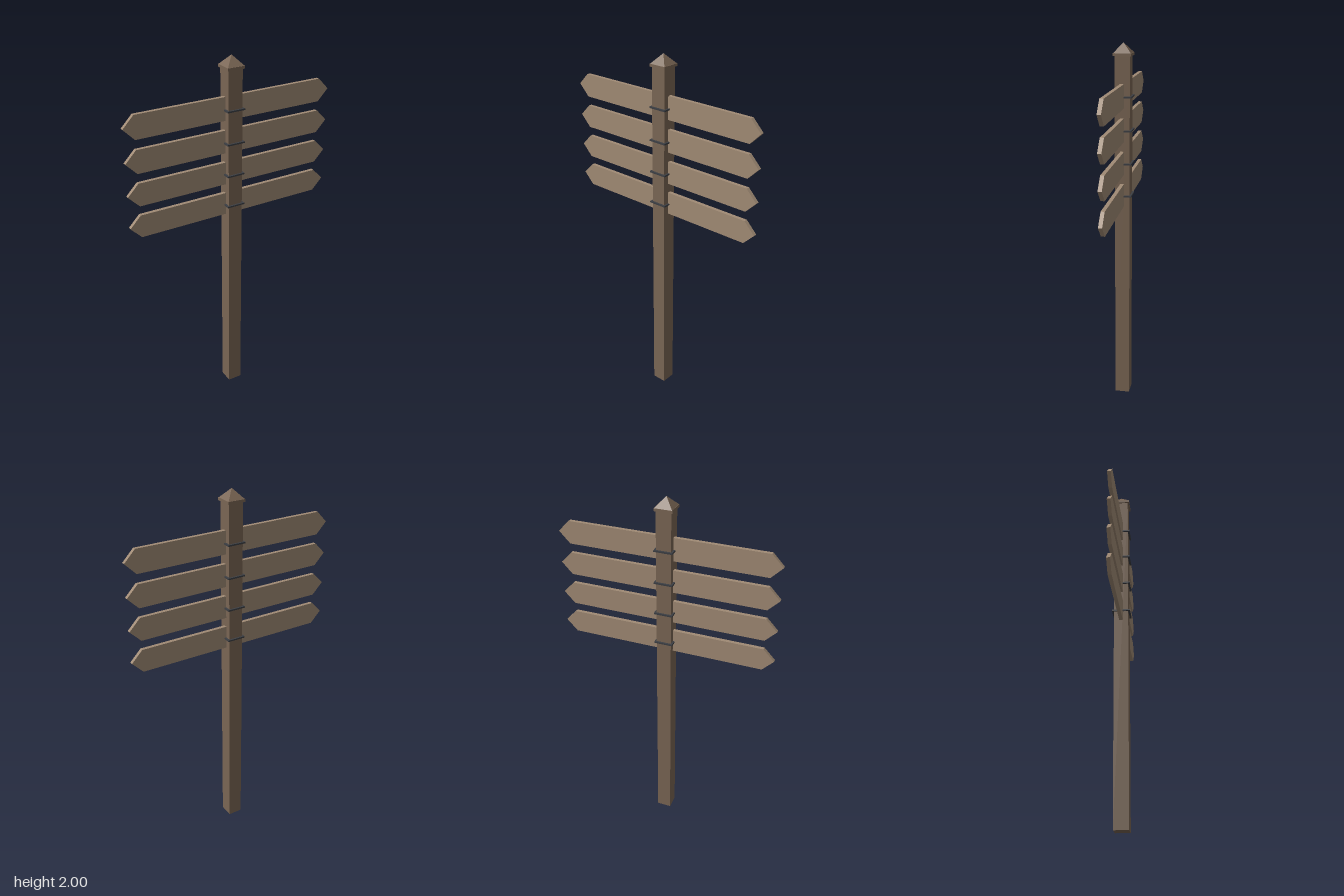
import * as THREE from 'three';

export function createModel() {
  const group = new THREE.Group();
  group.name = 'signpost';

  const mat = (name, color) => {
    const m = new THREE.MeshStandardMaterial({ color });
    m.name = name;
    return m;
  };
  const postWood = mat('postWood', 0x7a6654);
  const boardWood = mat('boardWood', 0xa08a74);
  const iron = mat('darkIron', 0x3c3f44);

  const add = (name, geometry, material, y) => {
    const mesh = new THREE.Mesh(geometry, material);
    mesh.name = name;
    mesh.position.y = y;
    group.add(mesh);
  };

  // Square post
  add('post', new THREE.BoxGeometry(0.08, 1.94, 0.08), postWood, 0.97);

  // Cap: thin slab and four-sided pyramid
  add('capSlab', new THREE.BoxGeometry(0.096, 0.014, 0.096), postWood, 1.943);
  const pyramid = new THREE.ConeGeometry(0.046 * Math.SQRT2, 0.05, 4).toNonIndexed();
  pyramid.rotateY(Math.PI / 4);
  pyramid.computeVertexNormals();
  add('capPyramid', pyramid, postWood, 1.975);

  // Board outline, pointed at both ends and running through the post
  const tip = 0.59, shoulder = 0.53, half = 0.062, thick = 0.02;
  const outline = new THREE.Shape([
    [-shoulder, -half], [shoulder, -half], [tip, 0],
    [shoulder, half], [-shoulder, half], [-tip, 0],
  ].map(([x, y]) => new THREE.Vector2(x, y)));
  const board = new THREE.ExtrudeGeometry(outline, { depth: thick, bevelEnabled: false });
  board.translate(0, 0, -thick / 2);

  // Four boards, each held by an iron band around the post
  const band = new THREE.BoxGeometry(0.1, 0.008, 0.1);
  for (let i = 0; i < 4; i++) {
    const y = 1.736 - i * 0.1755;
    add('signBoard' + (i + 1), board, boardWood, y);
    add('band' + (i + 1), band, iron, y - 0.005);
  }

  return group;
}
